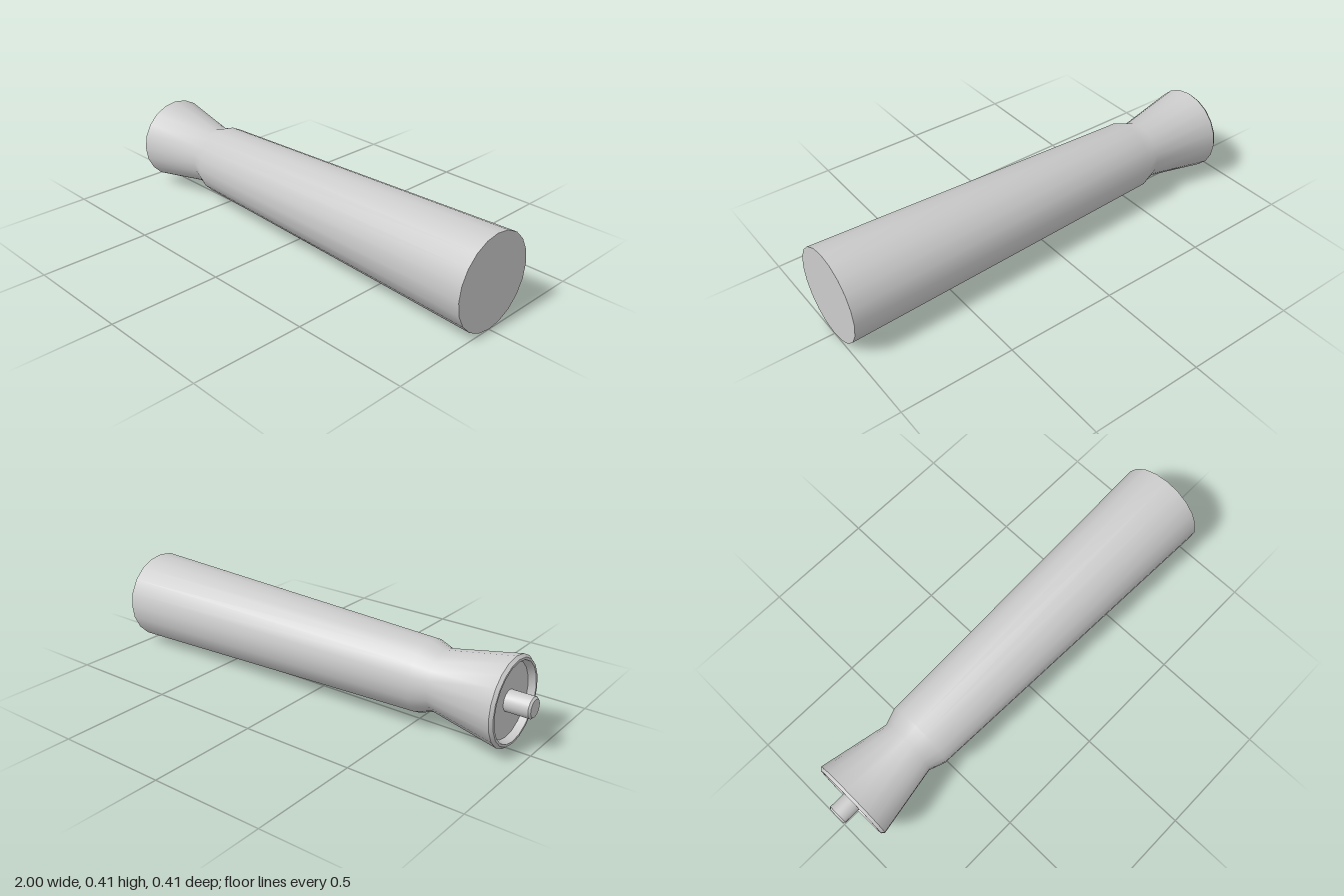
import * as THREE from 'three';
import { toCreasedNormals } from 'three/addons/utils/BufferGeometryUtils.js';

const RADIUS = 0.204;

// Turned solid lying along x; profile is a list of [x, radius] running from -x to +x
function turned(name, profile, sides) {
  const points = profile.map(([x, r]) => new THREE.Vector2(r, x));
  const lathe = new THREE.LatheGeometry(points, sides).rotateZ(-Math.PI / 2);
  const geometry = toCreasedNormals(lathe, 0.65);
  const mesh = new THREE.Mesh(geometry, new THREE.MeshStandardMaterial({ color: 0xcccccc }));
  mesh.name = name;
  mesh.position.y = RADIUS;
  return mesh;
}

export function createModel() {
  const model = new THREE.Group();
  model.name = 'handle';

  // Tapered grip with a narrow neck, flared collar and recessed end
  model.add(turned('grip', [
    [-0.89, 0],
    [-0.89, 0.158],
    [-0.92, 0.168],
    [-0.92, 0.178],
    [-0.907, 0.189],
    [-0.6, 0.131],
    [-0.53, 0.156],
    [1, RADIUS],
    [1, 0],
  ], 20));

  // Mounting pin with a small chamfer, standing in the recess
  model.add(turned('mountingPin', [
    [-1, 0],
    [-1, 0.037],
    [-0.992, 0.045],
    [-0.885, 0.045],
  ], 20));

  return model;
}
